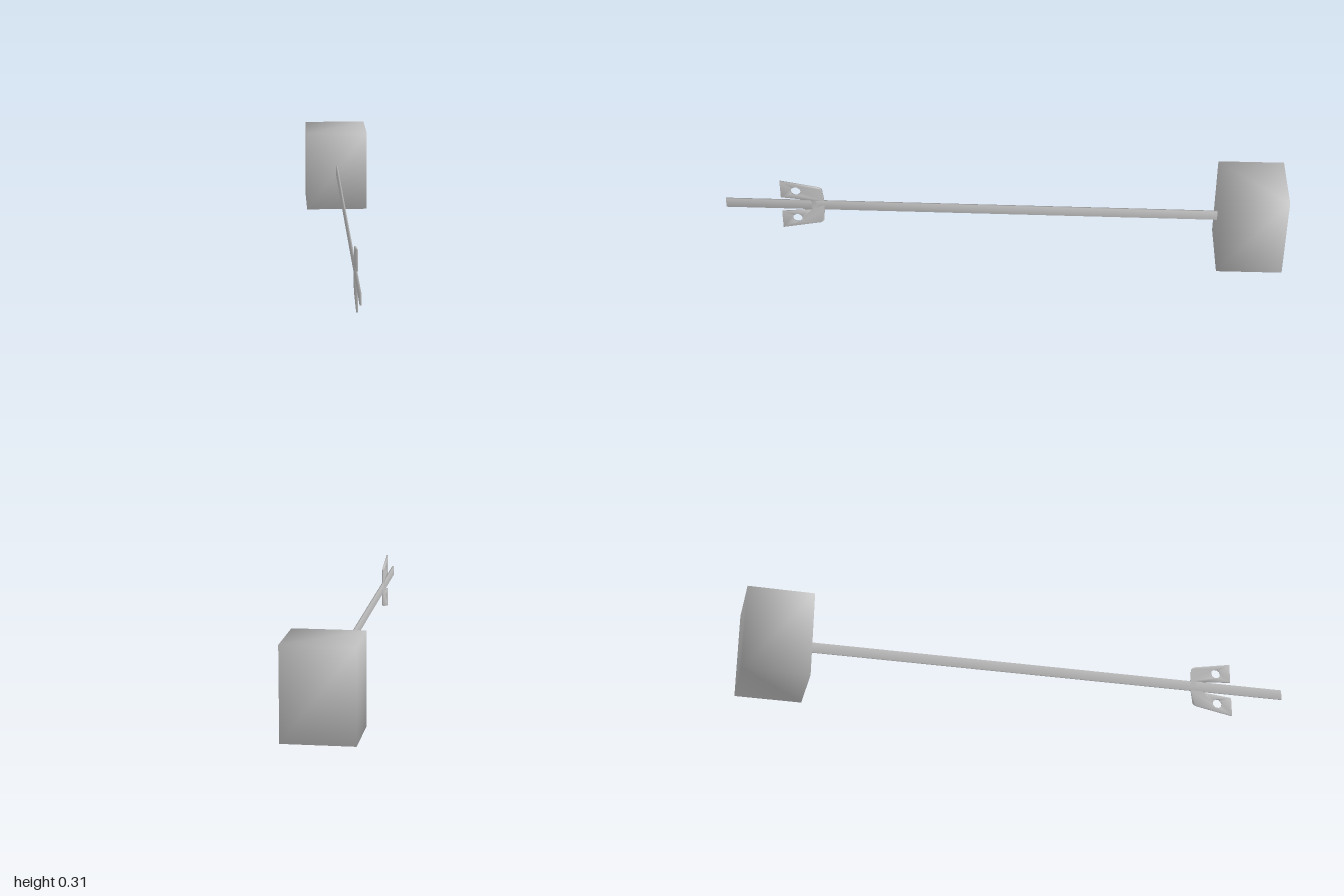
import * as THREE from 'three';
import { mergeVertices } from 'three/addons/utils/BufferGeometryUtils.js';

const material = new THREE.MeshStandardMaterial({ color: 0xcccccc });
const THICKNESS = 0.006;

// Weld corners so normals blend softly across the edges
function smooth(geometry) {
  geometry.deleteAttribute('uv');
  geometry.deleteAttribute('normal');
  const welded = mergeVertices(geometry, 1e-5);
  welded.computeVertexNormals();
  return welded;
}

function addPart(group, name, geometry) {
  const mesh = new THREE.Mesh(smooth(geometry), material);
  mesh.name = name;
  group.add(mesh);
}

// Extrude a side profile, drawn as (z, y), to a thin plate centred on x = 0
function plate(points, holes = []) {
  const shape = new THREE.Shape(points.map(([z, y]) => new THREE.Vector2(z, y)));
  for (const [z, y, r] of holes) {
    shape.holes.push(new THREE.Path().absarc(z, y, r, 0, Math.PI * 2, true));
  }
  const geometry = new THREE.ExtrudeGeometry(shape, {
    depth: THICKNESS, bevelEnabled: false, curveSegments: 5,
  });
  return geometry.translate(0, 0, -THICKNESS / 2).rotateY(-Math.PI / 2);
}

export function createModel() {
  const group = new THREE.Group();

  // Block at the rear end
  addPart(group, 'block',
    new THREE.BoxGeometry(0.24, 0.312, 0.234).translate(0, 0.156, -0.883));

  // Long flat strip, sloping down slightly into the block
  addPart(group, 'strip',
    plate([[-0.77, 0.142], [1, 0.151], [1, 0.188], [-0.77, 0.179]]));

  // Fin plate: upper half outline, mirrored about the strip, slots open to the front
  const midY = 0.167;
  const half = [
    [0.69, 0.018], [0.695, 0.022], [0.8, 0.032], [0.8, 0.103],
    [0.66, 0.077], [0.65, 0.068], [0.645, 0.02],
  ];
  const upper = half.map(([z, d]) => [z, midY + d]);
  const lower = half.map(([z, d]) => [z, midY - d]).reverse();
  addPart(group, 'fin',
    plate([...upper, ...lower], [1, -1].map((s) => [0.745, midY + s * 0.06, 0.018])));

  return group;
}
